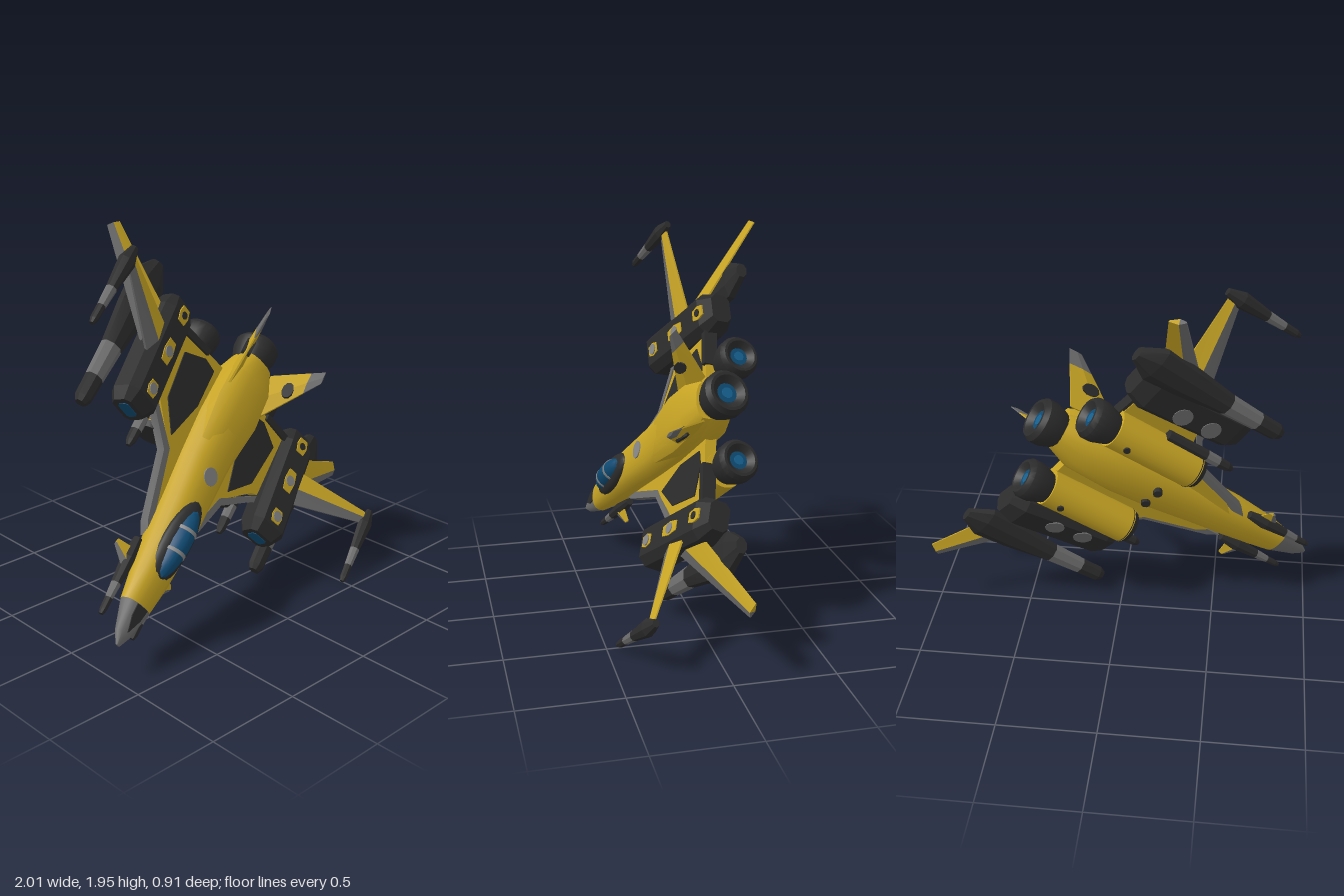
import * as THREE from 'three';
import { toCreasedNormals } from 'three/addons/utils/BufferGeometryUtils.js';

const mat = (name, color) => Object.assign(new THREE.MeshStandardMaterial({ color }), { name });

// Local frame while building: x = span, y = dorsal, z = towards the nose.
export function createModel() {
  const yellow = mat('yellow', 0xc7a424), dark = mat('charcoal', 0x2c2c2c), grey = mat('grey', 0x6c6c6c);
  const silver = mat('light grey', 0x858585), blue = mat('glass blue', 0x0e4a72), glow = mat('engine blue', 0x17608f);
  const ship = new THREE.Group();
  ship.name = 'starfighter';

  const add = (name, geo, m, crease = 0.6) => {
    const mesh = new THREE.Mesh(toCreasedNormals(geo, crease), m);
    mesh.name = name;
    ship.add(mesh);
  };
  const mirror = (geo) => {
    const g = geo.index ? geo.toNonIndexed() : geo.clone();
    const p = g.attributes.position;
    for (let i = 0; i < p.count; i += 3) {
      const b = [p.getX(i + 1), p.getY(i + 1), p.getZ(i + 1)];
      p.setXYZ(i + 1, p.getX(i + 2), p.getY(i + 2), p.getZ(i + 2));
      p.setXYZ(i + 2, ...b);
    }
    return g.scale(-1, 1, 1);
  };
  const pair = (name, geo, m, crease) => {
    add(name + 'Left', geo, m, crease);
    add(name + 'Right', mirror(geo), m, crease);
  };

  // Skin over loops of points, capped at both ends, always wound outwards
  const loft = (loops) => {
    const n = loops[0].length, pts = loops.flat(), idx = [];
    for (let i = 0; i < loops.length - 1; i++)
      for (let j = 0; j < n; j++) {
        const a = i * n + j, b = i * n + (j + 1) % n;
        idx.push(a, b, a + n, b, b + n, a + n);
      }
    const e = (loops.length - 1) * n;
    for (let j = 1; j < n - 1; j++) idx.push(0, j + 1, j, e, e + j, e + j + 1);
    const v = pts.map((p) => new THREE.Vector3(...p));
    let vol = 0;
    for (let i = 0; i < idx.length; i += 3) vol += v[idx[i]].clone().sub(v[0]).dot(v[idx[i + 1]].clone().sub(v[0]).cross(v[idx[i + 2]].clone().sub(v[0])));
    if (vol < 0) idx.reverse();
    const g = new THREE.BufferGeometry().setFromPoints(v);
    g.setIndex(idx);
    return g.toNonIndexed();
  };
  const ring = (x, y, z, w, h, n = 8, pow = 1) => Array.from({ length: n }, (_, i) => {
    const t = ((i + 0.5) / n) * Math.PI * 2, c = Math.cos(t), s = Math.sin(t);
    return [x + w * Math.sign(c) * Math.abs(c) ** pow, y + h * Math.sign(s) * Math.abs(s) ** pow, z];
  });
  const chamfer = (y, z, w, h, c) => [[w, h - c], [w - c, h], [c - w, h], [-w, h - c], [-w, c - h], [c - w, -h], [w - c, -h], [w, c - h]]
    .map(([a, b]) => [a, y + b, z]);
  // Flat plate outlined in span and length, top at y
  const plate = (pts, y, t) => new THREE.ExtrudeGeometry(new THREE.Shape(pts.map((p) => new THREE.Vector2(...p))), { depth: t, bevelEnabled: false })
    .rotateX(Math.PI / 2).translate(0, y, 0);
  const disc = (x, y, z, r, n = 12, t = 0.008) => new THREE.CylinderGeometry(r, r, t, n).translate(x, y, z);

  // Wing blade with a grey leading edge; root and tip give [span, height, length] of both edges
  const blade = (name, root, tip, thick, split, parts = [[0, split, grey], [split, 1, yellow]]) => {
    const d = [tip[0][0] - root[0][0], tip[0][1] - root[0][1]], l = Math.hypot(...d);
    const loop = ([le, te], k, t0, t1) => {
      const at = (t, s) => {
        const h = s * k * thick * (t === 0 ? 0.25 : t === 1 ? 0.2 : 1);
        const p = le.map((q, i) => q + (te[i] - q) * t);
        return [p[0] - d[1] / l * h, p[1] + d[0] / l * h, p[2]];
      };
      return [at(t0, 1), at(t1, 1), at(t1, -1), at(t0, -1)];
    };
    for (const [a, b, m] of parts)
      pair(name + (m === grey ? 'Edge' : 'Panel'), loft([loop(root, 1, a, b), loop(tip, 0.6, a, b)]), m, 0.3);
  };
  // Store built of short sections: [length, half width, half height, colour to the next section]
  const store = (name, x, y, secs) => {
    for (let i = 0; i < secs.length - 1; i++) {
      const [a, b] = [secs[i], secs[i + 1]];
      pair(name, loft([ring(x, y, a[0], a[1], a[2]), ring(x, y, b[0], b[1], b[2])]), a[3], 0.3);
    }
  };

  // Fuselage: [length, half width, bottom, top]
  const hull = [[0.76, 0.012, 0.295, 0.31], [0.7, 0.045, 0.27, 0.325], [0.55, 0.085, 0.235, 0.348], [0.4, 0.105, 0.215, 0.372], [0.2, 0.12, 0.19, 0.39],
    [0, 0.128, 0.17, 0.39], [-0.25, 0.145, 0.145, 0.385], [-0.5, 0.155, 0.13, 0.395], [-0.78, 0.145, 0.14, 0.395], [-0.92, 0.09, 0.18, 0.365]]
    .map(([z, w, b, t]) => ring(0, (b + t) / 2, z, w, (t - b) / 2, 16, 0.85));
  add('noseCone', loft(hull.slice(0, 3)), grey);
  add('fuselage', loft(hull.slice(2)), yellow);
  add('nosePanel', plate([[0, 0.69], [0.03, 0.61], [0.036, 0.55], [-0.036, 0.55], [-0.03, 0.61]], 0, 0.008).rotateX(0.15).translate(0, 0.433, 0.01), dark);
  add('dorsalHump', loft([[-0.25, 0.07, 0.02], [-0.35, 0.13, 0.055], [-0.6, 0.165, 0.085], [-0.78, 0.155, 0.085], [-0.91, 0.1, 0.055]]
    .map(([z, w, h]) => ring(0, 0.325, z, w, h, 12, 0.8))), yellow);
  add('dorsalHatch', disc(0, 0.384, -0.19, 0.047, 16), silver);
  pair('bellyPort', disc(0.05, 0.139, -0.32, 0.024, 10, 0.03), dark);

  // Canopy with dark rim and two hoops
  const tilt = (g) => g.rotateX(0.1).translate(0, 0.36, 0.2);
  add('canopyRim', tilt(new THREE.SphereGeometry(1, 24, 12).scale(0.092, 0.053, 0.24)), dark);
  add('canopyGlass', tilt(new THREE.SphereGeometry(1, 16, 12).scale(0.068, 0.085, 0.205)), blue);
  for (const z of [0.05, -0.07]) {
    const k = Math.sqrt(1 - (z / 0.205) ** 2) * 1.03;
    add('canopyHoop', tilt(loft([z - 0.009, z + 0.009].map((q) => ring(0, 0, q, 0.068 * k, 0.085 * k, 20)))), silver);
  }

  // Engines
  const nozzle = (x, y, z, k) => {
    const place = (g) => g.rotateX(-Math.PI / 2).translate(x, y, z);
    const prof = [[0.085, 0], [0.098, 0.03], [0.118, 0.09], [0.118, 0.14], [0.1, 0.165], [0.085, 0.165], [0.05, 0.135]];
    return [[place(new THREE.LatheGeometry(prof.map((p) => new THREE.Vector2(p[0] * k, p[1])), 20)), dark, 'nozzle'],
      [place(new THREE.CylinderGeometry(0.051 * k, 0.051 * k, 0.01, 16).translate(0, 0.133, 0)), blue, 'nozzleGlow'],
      [place(new THREE.CylinderGeometry(0.028 * k, 0.028 * k, 0.012, 12).translate(0, 0.136, 0)), glow, 'nozzleCore']];
  };
  for (const [g, m, n] of nozzle(0, 0.273, -0.89, 1)) add(n + 'Centre', g, m);
  for (const [g, m, n] of nozzle(0.28, 0.149, -0.77, 0.9)) pair(n, g, m);
  const tube = (r0, r1, from, to) => new THREE.CylinderGeometry(r0, r1, from - to, 20).rotateX(Math.PI / 2).translate(0.28, 0.158, (from + to) / 2);
  pair('engineTube', tube(0.098, 0.098, -0.28, -0.78), yellow);
  pair('engineIntake', tube(0.083, 0.1, -0.25, -0.29), dark);
  pair('enginePort', disc(0.28, 0.062, -0.69, 0.018, 10, 0.02), dark);

  // Main wing with grey leading edge, dark panel and trailing bar
  pair('wing', plate([[0.08, 0.14], [0.13, 0.08], [0.215, -0.2], [0.4, -0.37], [0.47, -0.4], [0.47, -0.77], [0.08, -0.78]], 0.265, 0.06), yellow);
  pair('wingLeadingEdge', plate([[0.1, 0.22], [0.14, 0.16], [0.245, -0.185], [0.43, -0.335], [0.46, -0.345], [0.46, -0.395], [0.215, -0.21], [0.125, 0.08], [0.1, 0.14]], 0.267, 0.05), grey);
  pair('wingPanel', plate([[0.245, -0.27], [0.37, -0.41], [0.405, -0.67], [0.27, -0.735], [0.185, -0.72], [0.18, -0.5]], 0.271, 0.008), dark);
  pair('trailingBar', plate([[0.27, -0.755], [0.47, -0.745], [0.47, -0.785], [0.27, -0.79]], 0.28, 0.07), dark);

  // Weapon nacelles, rolled inwards and pitched nose-up
  const nacelle = (name, geo, m) => pair(name, geo.translate(0, 0, 0.52).rotateX(-0.1).rotateZ(0.13).translate(0.557, 0.258, -0.52), m, 0.3);
  nacelle('nacelle', loft([chamfer(-0.012, -0.19, 0.08, 0.055, 0.025), chamfer(0, -0.25, 0.113, 0.086, 0.04),
    chamfer(0, -0.77, 0.113, 0.086, 0.04), chamfer(0, -0.86, 0.075, 0.055, 0.025)]), dark);
  nacelle('nacelleIntake', loft([-0.193, -0.186].map((z) => chamfer(-0.012, z, 0.05, 0.03, 0.012))), blue);
  for (const [z, l, r, m] of [[-0.31, 0.04, 0.029, silver], [-0.54, 0.066, 0.029, silver], [-0.77, 0.045, 0.02, dark]]) {
    nacelle('nacellePlate', plate([[-0.026, z - l], [0.026, z - l], [0.037, z], [0.026, z + l], [-0.026, z + l], [-0.037, z]], 0.09, 0.008), yellow);
    nacelle('nacelleDisc', disc(0, 0.091, z, r), m);
  }
  for (const z of [-0.38, -0.56]) nacelle('nacelleUnderDisc', disc(-0.03, -0.086, z, 0.052), grey);

  // Upper and lower outer wings
  blade('upperWing', [[0.63, 0.315, -0.46], [0.62, 0.315, -0.655]], [[1.08, 0.475, -0.63], [1.05, 0.465, -0.69]], 0.026, 0.45);
  blade('lowerWing', [[0.6, 0.29, -0.45], [0.58, 0.29, -0.71]], [[1.06, 0.112, -0.955], [1.015, 0.118, -1.02]], 0.026, 0.4);

  // Wing tip pods, heavy missiles, inner missiles and nose guns
  store('tipPod', 1.078, 0.472, [[-0.26, 0.012, 0.012, dark], [-0.285, 0.02, 0.02, dark], [-0.36, 0.022, 0.022, grey], [-0.465, 0.028, 0.027, dark],
    [-0.63, 0.046, 0.038, dark], [-0.715, 0.02, 0.018, dark]]);
  store('heavyMissile', 0.735, 0.17, [[-0.1, 0.03, 0.025, dark], [-0.13, 0.046, 0.04, dark], [-0.25, 0.05, 0.042, grey], [-0.44, 0.06, 0.047, dark],
    [-0.68, 0.096, 0.05, dark], [-0.87, 0.11, 0.046, dark], [-0.98, 0.04, 0.03, dark]]);
  store('innerMissile', 0.385, 0.18, [[-0.11, 0.013, 0.013, dark], [-0.14, 0.026, 0.026, dark], [-0.2, 0.029, 0.029, grey], [-0.28, 0.032, 0.032, dark], [-0.52, 0.03, 0.03, dark]]);
  store('noseGun', 0.118, 0.235, [[0.665, 0.012, 0.012, dark], [0.64, 0.018, 0.018, dark], [0.58, 0.02, 0.02, grey], [0.5, 0.026, 0.026, dark],
    [0.36, 0.038, 0.036, dark], [0.25, 0.022, 0.022, dark]]);
  blade('canard', [[0.12, 0.25, 0.44], [0.12, 0.25, 0.31]], [[0.215, 0.215, 0.345], [0.21, 0.215, 0.31]], 0.015, 0.35);

  // Canted tail fins with grey tips and a dark port on each face
  const tailRoot = [[0.125, 0.34, -0.63], [0.115, 0.34, -0.92]], tailTip = [[0.265, 0.556, -0.97], [0.265, 0.556, -1.045]];
  const tailCut = tailRoot.map((p, i) => p.map((q, k) => q + (tailTip[i][k] - q) * 0.74));
  blade('tailFin', tailRoot, tailCut, 0.024, 0.45, [[0, 0.45, yellow], [0.45, 1, yellow]]);
  blade('tailFinTip', tailCut, tailTip, 0.0144, 0.45, [[0, 0.45, grey], [0.45, 1, grey]]);
  pair('tailFinPort', new THREE.CylinderGeometry(0.03, 0.03, 0.046, 10).scale(1, 1, 1.6).rotateZ(0.98).translate(0.185, 0.435, -0.86), dark);

  // Banked, nose-down attitude
  const f = new THREE.Vector3(-0.775, -0.58, 0.25).normalize();
  const u = f.clone().cross(new THREE.Vector3(0.622, -0.764, 0.17)).normalize();
  const s = u.clone().cross(f);
  ship.quaternion.setFromRotationMatrix(new THREE.Matrix4().makeBasis(s, u, f));
  ship.position.copy(s).multiplyScalar(-0.693);

  const root = new THREE.Group();
  root.add(ship);
  root.updateMatrixWorld(true);
  const box = new THREE.Box3().setFromObject(root, true), c = box.getCenter(new THREE.Vector3());
  ship.position.sub(new THREE.Vector3(c.x, box.min.y, c.z));
  return root;
}
